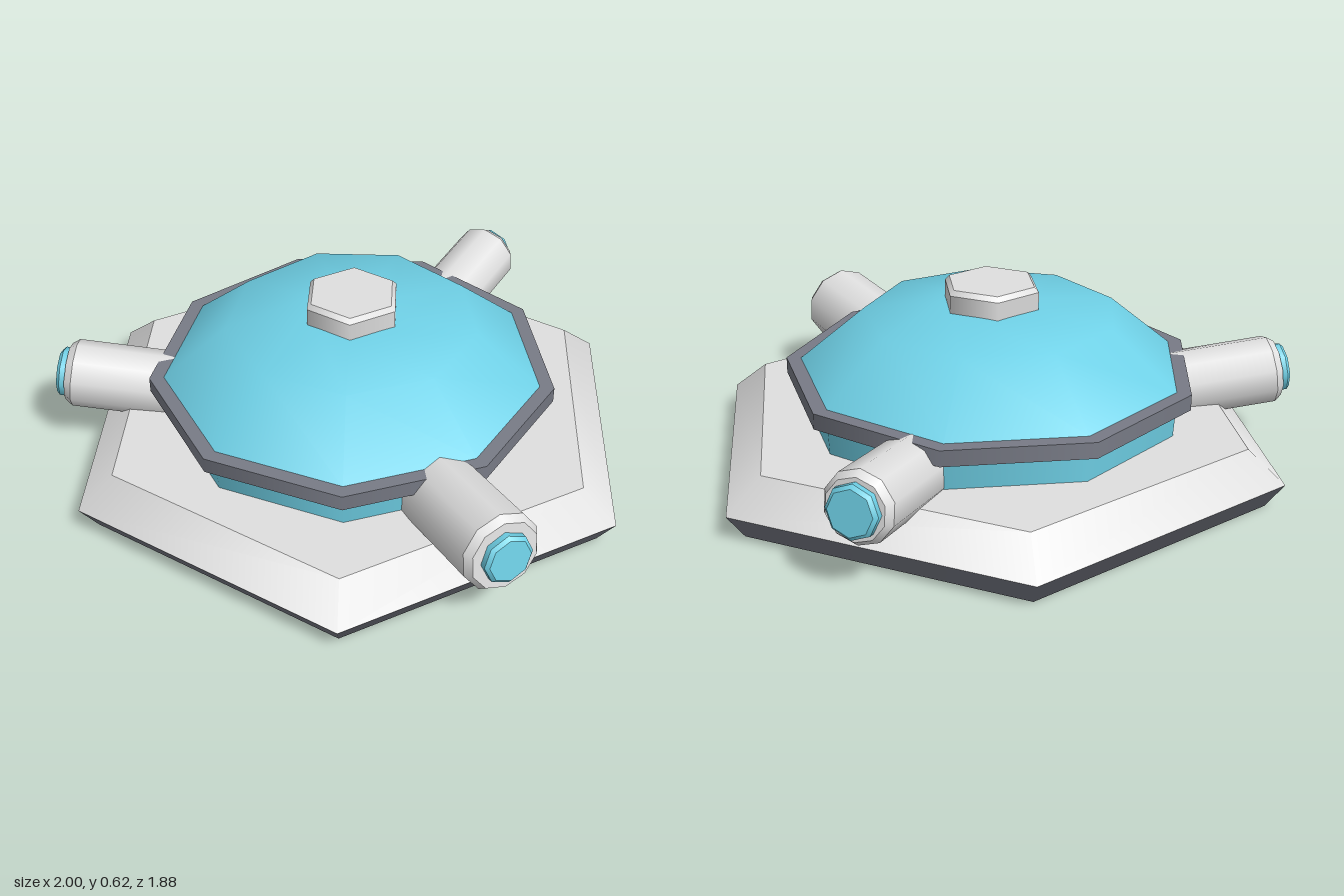
import * as THREE from 'three';

const paint = (name, color) => {
  const m = new THREE.MeshStandardMaterial({ color });
  m.name = name;
  return m;
};

export function createModel() {
  const lightGrey = paint('light grey', 0xe0e0e0);
  const darkGrey = paint('dark grey', 0x787b86);
  const black = paint('near black', 0x3e3e42);
  const teal = paint('teal', 0x70d2e8);

  const model = new THREE.Group();
  model.name = 'turretPod';

  const add = (parent, name, geometry, material) => {
    const mesh = new THREE.Mesh(geometry, material);
    mesh.name = name;
    parent.add(mesh);
    return mesh;
  };

  // Tapered prism standing between y0 and y1, with a corner on +x
  const prism = (r0, r1, y0, y1, sides, open = false) =>
    new THREE.CylinderGeometry(r1, r0, y1 - y0, sides, 1, open, Math.PI / 2)
      .translate(0, (y0 + y1) / 2, 0);

  const hull = new THREE.Group();
  hull.name = 'hull';
  hull.position.z = -0.075;
  model.add(hull);

  // Six-sided base: dark skirt with a black floor, light deck above
  // (cylinder groups run side, top, bottom)
  add(hull, 'baseSkirt', prism(0.94, 1, 0, 0.085, 6), [darkGrey, darkGrey, black]);
  add(hull, 'baseDeck', prism(1, 0.875, 0.085, 0.187, 6), lightGrey);

  // Nine-sided body, belt and dome
  add(hull, 'body', prism(0.63, 0.637, 0.185, 0.3, 9, true), teal);
  add(hull, 'belt', prism(0.684, 0.684, 0.287, 0.34, 9), darkGrey);
  const domeProfile = [[0.638, 0.338], [0.42, 0.522], [0.165, 0.549], [0, 0.556]]
    .map(([r, y]) => new THREE.Vector2(r, y));
  add(hull, 'dome', new THREE.LatheGeometry(domeProfile, 9, Math.PI / 2), teal);

  // Six-sided hatch
  add(hull, 'hatch', prism(0.165, 0.165, 0.53, 0.608, 6), lightGrey);
  add(hull, 'hatchBevel', prism(0.165, 0.15, 0.608, 0.624, 6), lightGrey);

  // Prism lying along +z, with a corner at the top
  const tube = (r0, r1, z0, z1, sides) =>
    new THREE.CylinderGeometry(r1, r0, z1 - z0, sides)
      .rotateX(Math.PI / 2).translate(0, 0, (z0 + z1) / 2);

  // Three barrels tilted slightly upward, the front one thicker
  [0.134, 0.115, 0.115].forEach((radius, i) => {
    const mount = new THREE.Group();
    mount.name = 'barrelMount' + (i + 1);
    mount.rotation.y = i * Math.PI * 2 / 3;
    hull.add(mount);
    const barrel = new THREE.Group();
    barrel.name = 'barrel';
    barrel.position.set(0, 0.275, 1);
    barrel.rotation.x = -0.125;
    mount.add(barrel);
    add(barrel, 'barrelTube', tube(radius, radius, -0.48, -0.05, 10), lightGrey);
    add(barrel, 'barrelRim', tube(radius, radius - 0.018, -0.05, -0.025, 10), lightGrey);
    add(barrel, 'lens', tube(0.084, 0.084, -0.04, -0.005, 8), teal);
    add(barrel, 'lensBevel', tube(0.084, 0.072, -0.005, 0.006, 8), teal);
  });

  return model;
}
